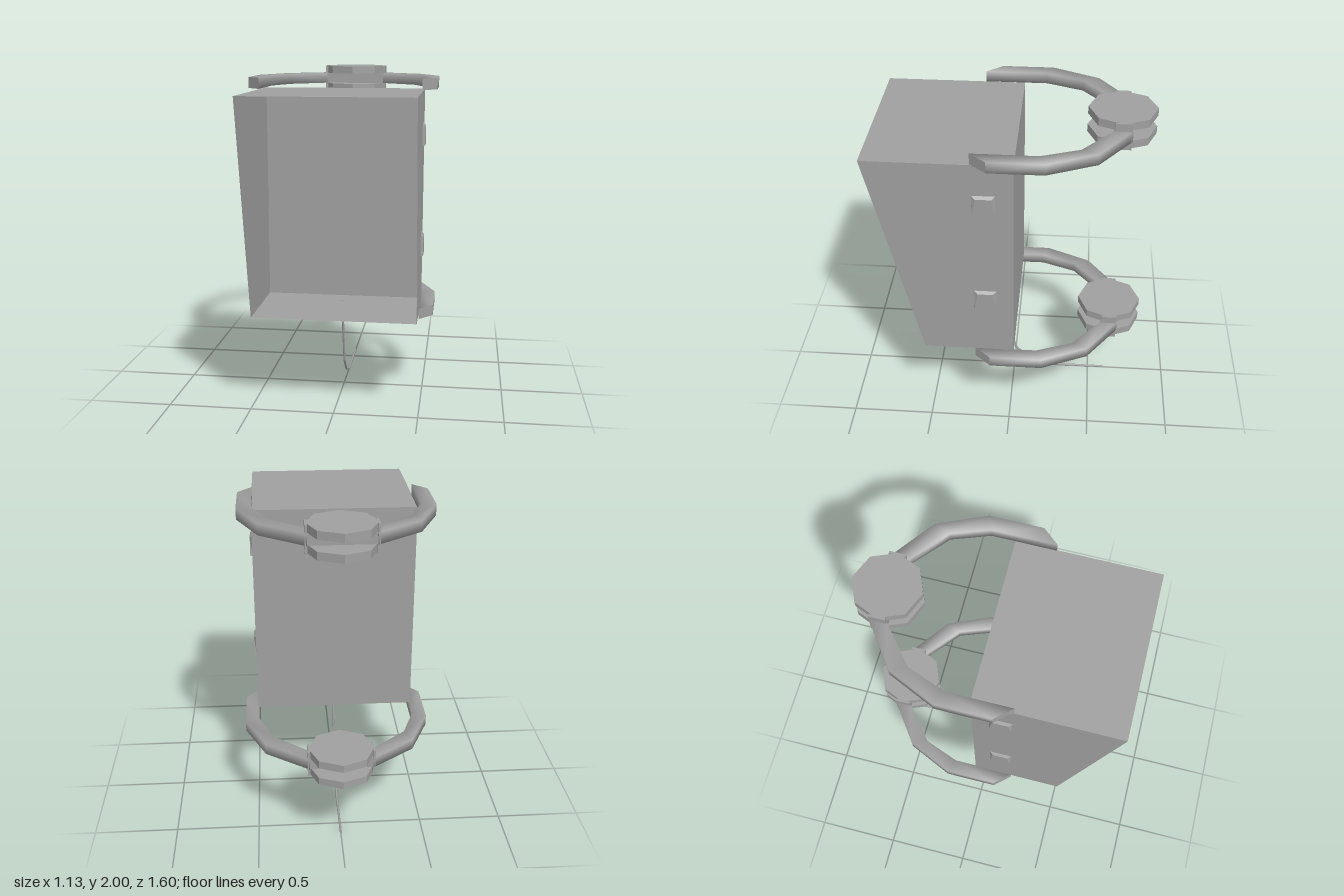
import * as THREE from 'three';

const grey = new THREE.MeshStandardMaterial({ color: 0xa0a0a0, side: THREE.DoubleSide });
grey.name = 'grey';

function add(parent, name, geometry, x = 0, y = 0, z = 0) {
  const mesh = new THREE.Mesh(geometry, grey);
  mesh.name = name;
  mesh.position.set(x, y, z);
  parent.add(mesh);
  return mesh;
}

// Flat-shaded surface from quads given as lists of four corners
function quads(list) {
  const pos = [];
  for (const [a, b, c, d] of list) pos.push(...a, ...b, ...c, ...a, ...c, ...d);
  const g = new THREE.BufferGeometry();
  g.setAttribute('position', new THREE.Float32BufferAttribute(pos, 3));
  g.computeVertexNormals();
  return g;
}

// Quads joining two four-corner rings
function joinRings(a, b) {
  return a.map((p, i) => [p, a[(i + 1) % 4], b[(i + 1) % 4], b[i]]);
}

// Hood: thin-walled box, open at the slanted front
function hoodGeometry() {
  const w = 0.485, back = -0.03;
  const ring = (zBottom, zTop) => [[-w, 0.58, zBottom], [w, 0.58, zBottom], [w, 1.885, zTop], [-w, 1.885, zTop]];
  const rear = ring(back, back), front = ring(0.51, 0.8);
  return quads([[...rear].reverse(), ...joinRings(front, rear).map(q => q.reverse())]);
}

// Latch: raised pad whose face narrows towards the top
function latchGeometry() {
  const base = [[0, -0.063, 0.065], [0, -0.063, -0.065], [0, 0.063, -0.065], [0, 0.063, 0.065]];
  const face = [[0.015, -0.063, 0.062], [0.015, -0.063, -0.062], [0.015, 0.048, -0.045], [0.015, 0.048, 0.045]];
  return quads([face, ...joinRings(base, face)]);
}

// Bracket arm: rectangular section swept along pairs of inner and outer plan points
function armGeometry(height) {
  const plan = [
    [0.48, 0.205, 0.563, 0.11], [0.48, -0.165, 0.563, -0.2],
    [0.4, -0.38, 0.44, -0.475], [0.185, -0.56, 0.185, -0.66],
  ];
  const pos = [], index = [];
  const ring = ([xi, zi, xo, zo]) => pos.push(xi, 0, zi, xo, 0, zo, xo, height, zo, xi, height, zi);
  plan.forEach(ring);
  for (let i = 0; i < plan.length - 1; i++) {
    for (let k = 0; k < 4; k++) {
      const a = i * 4 + k, b = i * 4 + (k + 1) % 4;
      index.push(a, a + 4, b + 4, a, b + 4, b);
    }
  }
  // End caps keep their own corners so they stay flat
  ring(plan[0]);
  ring(plan[plan.length - 1]);
  const s = plan.length * 4, e = s + 4;
  index.push(s, s + 1, s + 2, s, s + 2, s + 3, e, e + 2, e + 1, e, e + 3, e + 2);
  const g = new THREE.BufferGeometry();
  g.setAttribute('position', new THREE.Float32BufferAttribute(pos, 3));
  g.setIndex(index);
  g.computeVertexNormals();
  return g;
}

// Octagonal disc with flat-shaded sides
function discGeometry(height) {
  const g = new THREE.CylinderGeometry(0.195, 0.195, height, 8).toNonIndexed();
  g.computeVertexNormals();
  return g;
}

// Bracket: two arms clamped between a pair of discs
function bracket(name, y) {
  const group = new THREE.Group();
  group.name = name;
  group.position.y = y;
  const thick = 0.065, disc = 0.047;
  const arm = armGeometry(thick);
  for (const side of [1, -1]) {
    add(group, side > 0 ? 'leftArm' : 'rightArm', arm).scale.x = side;
    add(group, 'clampPlate', new THREE.BoxGeometry(0.014, thick + disc * 2, 0.095), side * 0.19, thick / 2, -0.608);
  }
  add(group, 'crossBar', new THREE.BoxGeometry(0.37, thick, 0.09), 0, thick / 2, -0.608);
  add(group, 'upperDisc', discGeometry(disc), 0, thick + disc / 2, -0.607);
  add(group, 'lowerDisc', discGeometry(disc), 0, -disc / 2, -0.607);
  return group;
}

// Cable: thin tube through straight segments
function cableGeometry() {
  const points = [[0.58, 0.095], [0.15, -0.01], [0.055, -0.11], [0.01, -0.24], [0.01, -0.605]]
    .map(([y, z]) => new THREE.Vector3(0, y, z));
  const path = new THREE.CurvePath();
  for (let i = 0; i < points.length - 1; i++) path.add(new THREE.LineCurve3(points[i], points[i + 1]));
  return new THREE.TubeGeometry(path, 40, 0.007, 6);
}

export function createModel() {
  const model = new THREE.Group();
  model.name = 'hoodedLamp';
  add(model, 'hood', hoodGeometry());

  // Two latches on each side wall
  const latch = latchGeometry();
  for (const side of [1, -1]) {
    for (const y of [0.97, 1.63]) add(model, 'latch', latch, side * 0.485, y, 0.135).scale.x = side;
  }

  model.add(bracket('topBracket', 1.888), bracket('bottomBracket', 0.514));
  add(model, 'cable', cableGeometry());
  return model;
}
